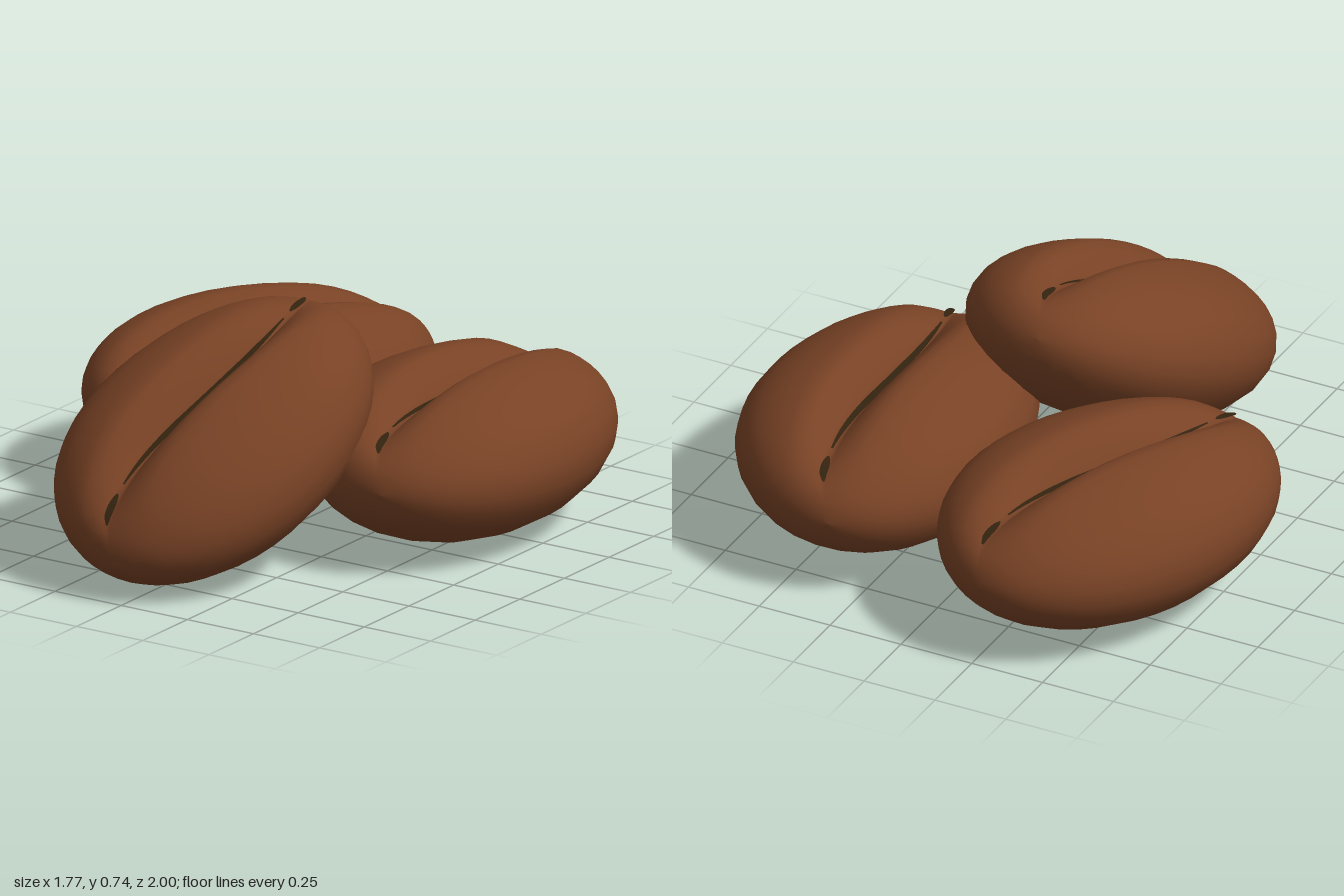
import * as THREE from 'three';

const L = 0.617, W = 0.45, H = 0.28; // half length, width and height of a bean

// Point on the bean: t runs along the length, phi goes round from the seam
function beanPoint(t, phi, lift = 0) {
  const r = Math.sqrt(Math.max(0, 1 - (t / L) ** 2));
  const seamShift = -0.05 * Math.sin(Math.PI * t / 0.8) * Math.min(1, r * 2);
  const x = r * W * Math.sin(phi);
  let y = r * H * Math.cos(phi) + lift;
  if (Math.cos(phi) > 0) {
    const depth = 0.13 * Math.max(0, 1 - (t / 0.6) ** 2);
    y -= depth * Math.max(0, 1 - Math.abs(x) / 0.13) ** 1.5;
  }
  return new THREE.Vector3(x + seamShift * ((1 + Math.cos(phi)) / 2) ** 2, y, t);
}

// Smooth grid surface from rows of points
function gridGeometry(rows, cols, pointAt, wrap) {
  const pos = [], index = [];
  const n = wrap ? cols : cols + 1;
  for (let i = 0; i <= rows; i++) {
    for (let k = 0; k < n; k++) pos.push(...pointAt(i / rows, k / cols).toArray());
  }
  for (let i = 0; i < rows; i++) {
    for (let k = 0; k < cols; k++) {
      const k1 = (k + 1) % n;
      const a = i * n + k, b = i * n + k1, c = a + n, d = b + n;
      if (!wrap || i > 0) index.push(a, c, b);
      if (!wrap || i < rows - 1) index.push(b, c, d);
      if (wrap && i === 0) index.pop(), index.pop(), index.pop(), index.push(a, c, d);
    }
  }
  const g = new THREE.BufferGeometry();
  g.setAttribute('position', new THREE.Float32BufferAttribute(pos, 3));
  g.setIndex(index);
  g.computeVertexNormals();
  return g;
}

export function createModel() {
  const brown = new THREE.MeshStandardMaterial({ color: 0x784225 });
  brown.name = 'roastedBrown';
  const dark = new THREE.MeshStandardMaterial({ color: 0x352410, side: THREE.DoubleSide });
  dark.name = 'darkSeam';

  // Bean body, with more columns close to the groove
  const bodyGeo = gridGeometry(24, 36, (u, v) => {
    const a = 2 * Math.PI * v;
    return beanPoint(-L * Math.cos(Math.PI * u), a - 0.7 * Math.sin(a));
  }, true);

  // Seam: one long strip and a short one at each end, tapered to points
  const seamGeos = [[-0.56, -0.46], [-0.42, 0.41], [0.45, 0.56]].map(([t0, t1]) =>
    gridGeometry(24, 2, (u, v) => {
      const p = beanPoint(t0 + (t1 - t0) * u, 0, 0.018);
      p.x += (v - 0.5) * 0.028 * Math.sqrt(Math.sin(Math.PI * Math.min(0.98, Math.max(0.02, u))));
      return p;
    }, false));

  function bean(name, position, pitch, yaw) {
    const g = new THREE.Group();
    g.name = name;
    const body = new THREE.Mesh(bodyGeo, brown);
    body.name = 'beanBody';
    g.add(body);
    for (const geo of seamGeos) {
      const seam = new THREE.Mesh(geo, dark);
      seam.name = 'seam';
      g.add(seam);
    }
    g.position.set(...position);
    g.rotation.set(pitch, yaw, 0);
    return g;
  }

  // Two beans lying flat, the third leaning on them
  const model = new THREE.Group();
  model.name = 'coffeeBeans';
  model.add(
    bean('leftBean', [0.43, 0.28, -0.265], 0, 0.175),
    bean('rightBean', [-0.42, 0.28, -0.395], 0, -0.245),
    bean('frontBean', [-0.03, 0.385, 0.43], 0.45, 0));
  return model;
}
